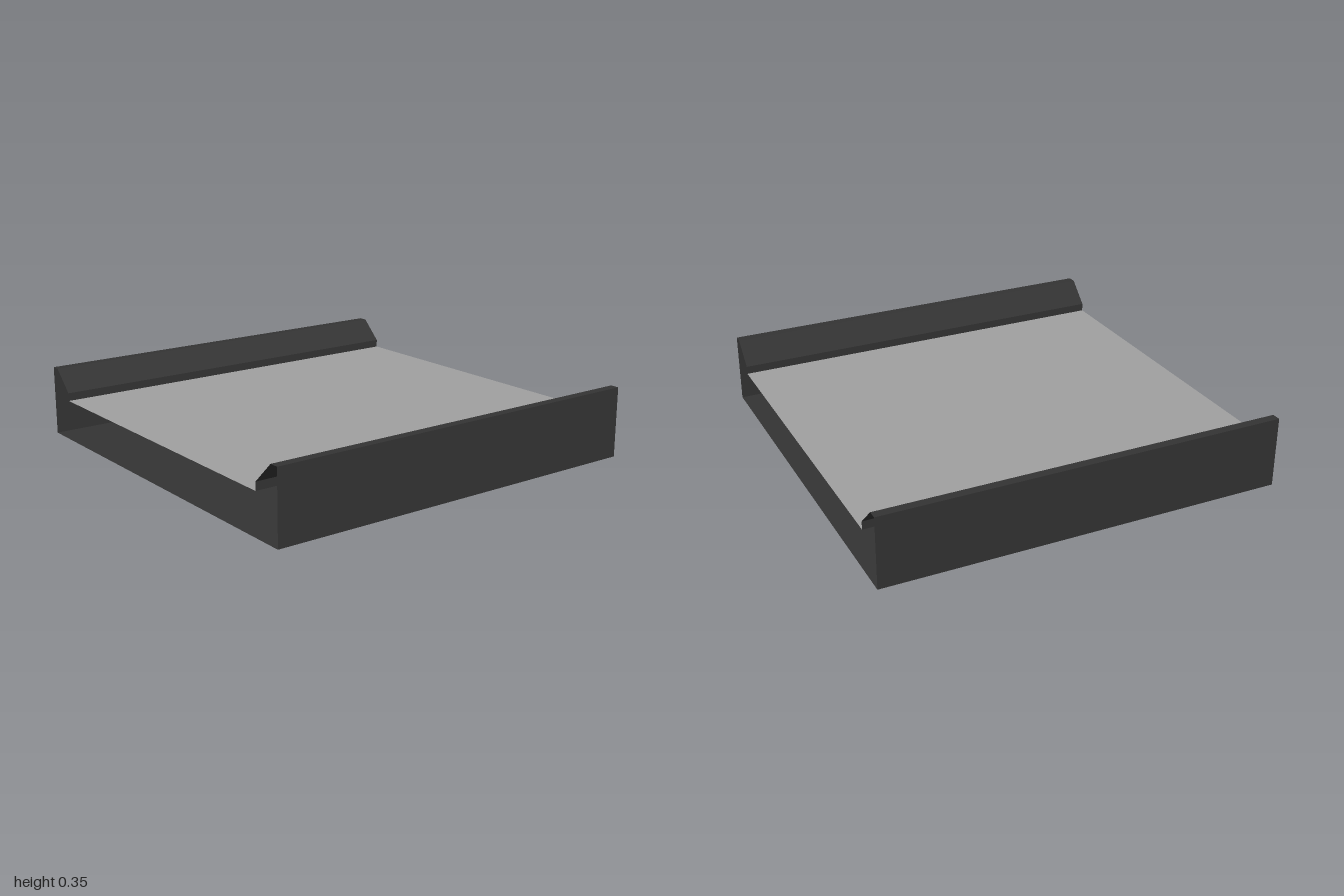
import * as THREE from 'three';

const HALF = 1; // half length along x

// Sweeps an open [z, y] profile along x as a thin, faceted sheet.
function sheet(name, profile, material) {
  const pos = [];
  for (let i = 0; i < profile.length - 1; i++) {
    const [z0, y0] = profile[i];
    const [z1, y1] = profile[i + 1];
    pos.push(-HALF, y0, z0, HALF, y0, z0, HALF, y1, z1);
    pos.push(-HALF, y0, z0, HALF, y1, z1, -HALF, y1, z1);
  }
  const geometry = new THREE.BufferGeometry();
  geometry.setAttribute('position', new THREE.Float32BufferAttribute(pos, 3));
  geometry.computeVertexNormals();
  const mesh = new THREE.Mesh(geometry, material);
  mesh.name = name;
  return mesh;
}

export function createModel() {
  const group = new THREE.Group();
  group.name = 'channelTray';
  const dark = new THREE.MeshStandardMaterial({ color: 0x333333, side: THREE.DoubleSide });
  const grey = new THREE.MeshStandardMaterial({ color: 0xa0a0a0, side: THREE.DoubleSide });

  // Flat underside and raised deck
  group.add(sheet('floor', [[-1, 0], [-1 + 2, 0]].reverse(), dark));
  group.add(sheet('deck', [[0.845, 0.205], [-0.845, 0.205]], grey));

  // Kerb: outer wall, narrow top, sloped inner face, short drop to the deck
  const kerb = [[1, 0], [1, 0.35], [0.955, 0.35], [0.845, 0.245], [0.845, 0.205]];
  group.add(sheet('frontKerb', kerb, dark));
  group.add(sheet('backKerb', kerb.map(([z, y]) => [-z, y]).reverse(), dark));
  return group;
}
